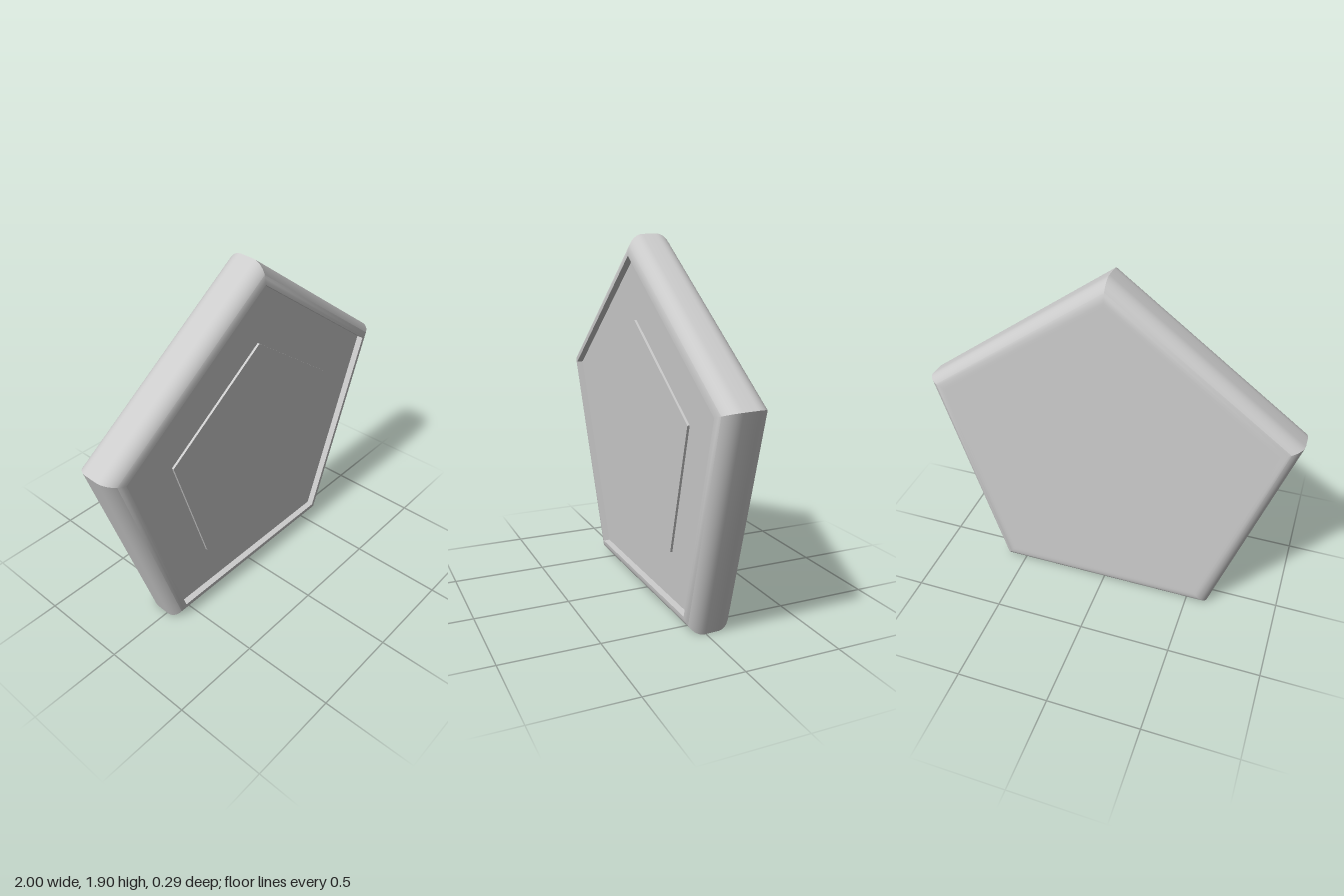
import * as THREE from 'three';
import { toCreasedNormals } from 'three/addons/utils/BufferGeometryUtils.js';

const R = 1.0515;               // corner radius of the pentagon
const COS = Math.cos(Math.PI / 5);
const HALF = 0.12;              // half thickness
const BEVEL = 0.085;            // rounding radius of the rim
const DEPTH = 0.035;            // depth of the front recess
const RAISE = 0.012;            // height of the centre plate above the recess floor

// Five-sided lathe turned to face +z with one corner up; profile runs back to front.
function pentagon(name, profile, material) {
  const points = profile.map(([r, z]) => new THREE.Vector2(r, z));
  const geometry = new THREE.LatheGeometry(points, 5, Math.PI);
  geometry.rotateX(Math.PI / 2);
  const mesh = new THREE.Mesh(toCreasedNormals(geometry, 0.5), material);
  mesh.name = name;
  return mesh;
}

export function createModel() {
  const material = new THREE.MeshStandardMaterial({ color: 0xcccccc });
  const inner = R - BEVEL / COS;
  const floor = HALF - DEPTH;

  // Rounded rim: quarter arc at the back, straight side, quarter arc at the front
  const arc = (from, z) => Array.from({ length: 11 }, (_, i) => {
    const a = from + (i / 10) * Math.PI / 2;
    return [inner + (BEVEL / COS) * Math.cos(a), z + BEVEL * Math.sin(a)];
  });
  const body = [
    [0, -HALF], [inner - 0.02, -HALF],
    ...arc(-Math.PI / 2, -HALF + BEVEL),
    ...arc(0, HALF - BEVEL),
    [inner, floor],
  ];

  const plate = new THREE.Group();
  plate.name = 'tiltedPlate';
  plate.add(
    pentagon('roundedBody', body, material),
    pentagon('recessFloor', [[inner, floor], [0, floor]], material),
    pentagon('raisedCentre', [[0.625, floor], [0.625, floor + RAISE], [0, floor + RAISE]], material),
  );

  // Lean slightly forward about mid height
  const height = R * (1 + COS);
  plate.children.forEach((m) => { m.position.y = R * COS - height / 2; });
  plate.rotation.x = 0.032;
  plate.position.y = height / 2;

  const model = new THREE.Group();
  model.name = 'pentagonPlate';
  model.add(plate);
  return model;
}
